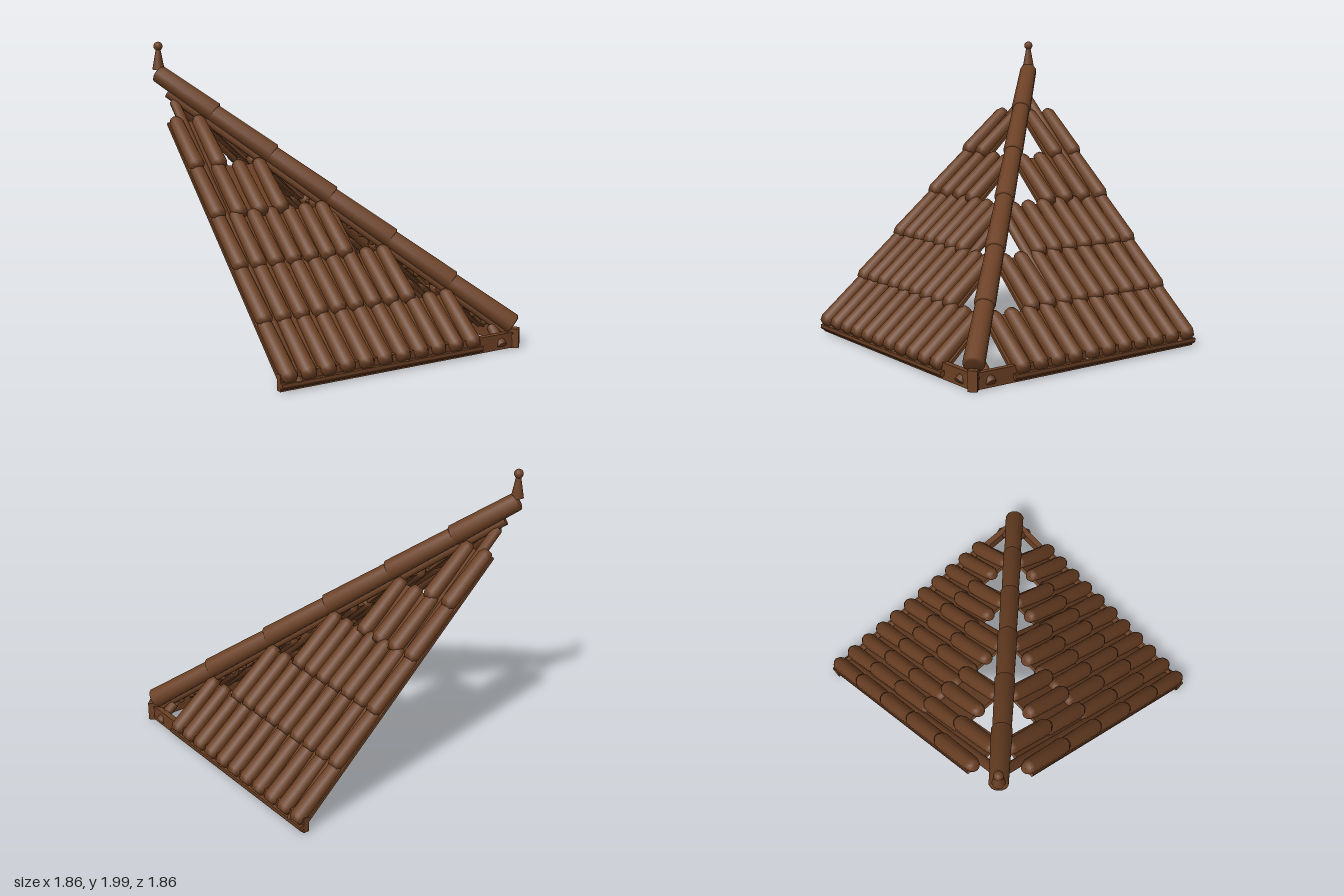
import * as THREE from 'three';

const wood = new THREE.MeshStandardMaterial({ color: 0x6b4024 });
wood.name = 'brownWood';

const V = (x, y, z) => new THREE.Vector3(x, y, z);
const UP = V(0, 1, 0);
const RISE = 0.925;                                    // roof pitch
const roofY = (z) => 0.365 + RISE * (0.555 - z);       // height of the front slope

function add(parent, name, geometry) {
  const mesh = new THREE.Mesh(geometry, wood);
  mesh.name = name;
  parent.add(mesh);
  return mesh;
}

// Puts a part whose base is at its own origin so that it runs from a towards b
function aim(mesh, a, b) {
  mesh.position.copy(a);
  mesh.quaternion.setFromUnitVectors(UP, b.clone().sub(a).normalize());
  return mesh;
}

// Rounded barrel, wide at the lower end and narrower at the upper end
function barrel(length, rLow, rHigh, sides, cap) {
  const profile = [
    [0, 0], [rLow * 0.72, 0], [rLow, cap], [(rLow + rHigh) / 2, length * 0.5],
    [rHigh, length - cap], [rHigh * 0.7, length], [0, length],
  ].map(([r, y]) => new THREE.Vector2(r, y));
  return new THREE.LatheGeometry(profile, sides);
}

function pole(parent, name, a, b, r, sides = 8) {
  const length = a.distanceTo(b);
  const g = new THREE.CylinderGeometry(r, r, length, sides).translate(0, length / 2, 0);
  return aim(add(parent, name, g), a, b);
}

const tileGeometry = barrel(0.455, 0.055, 0.05, 10, 0.035);
const LEFT = -0.935;
const ROWS = [                                         // right edge and tile count
  { edge: 0.57, count: 11 },
  { edge: 0.265, count: 9 },
  { edge: -0.03, count: 7 },
  { edge: -0.34, count: 4 },
  { edge: -0.64, count: 2 },
];

// One roof slope; m = -1 mirrors it across x
function slope(name, m) {
  const group = new THREE.Group();
  group.name = name;
  const stepZ = 0.3015;

  ROWS.forEach(({ edge, count }, row) => {
    // Deck board below the row
    const zHigh = 0.555 - row * stepZ;
    const zLow = row === 0 ? 0.895 : zHigh + stepZ;
    const run = (zLow - zHigh) * Math.hypot(1, RISE);
    const board = add(group, 'deckBoard', new THREE.BoxGeometry(edge - LEFT, 0.02, run));
    const zMid = (zLow + zHigh) / 2;
    board.position.set(m * (LEFT + edge) / 2, roofY(zMid) - 0.014, zMid);
    board.rotation.x = Math.atan(RISE);

    // Barrel tiles, their upper ends dipping through the board
    const first = -0.877, last = edge - 0.07;
    for (let i = 0; i < count; i++) {
      const x = m * (first + (last - first) * i / (count - 1));
      const dz = -row * stepZ, dy = row * stepZ * RISE;
      aim(add(group, 'roofTile', tileGeometry),
        V(x, 0.083 + dy, 0.9 + dz), V(x, 0.372 + dy, 0.55 + dz));
    }
  });

  // Rafters running up to the hip
  for (const [x, top] of [[-0.81, -0.8], [-0.03, -0.02], [0.74, 0.76]]) {
    pole(group, 'rafter', V(m * x, 0.042, 0.88), V(m * x, roofY(top) - 0.03, top), 0.034);
  }

  // Eave beam and the thin strip under the lowest tiles
  const beam = add(group, 'eaveBeam', new THREE.BoxGeometry(1.81, 0.105, 0.04));
  beam.position.set(m * -0.03, 0.066, 0.852);
  const strip = add(group, 'eaveStrip', new THREE.BoxGeometry(1.505, 0.025, 0.03));
  strip.position.set(m * -0.1825, 0.055, 0.885);
  return group;
}

export function createModel() {
  const model = new THREE.Group();
  model.name = 'hippedRoofCorner';

  model.add(slope('frontSlope', 1));
  const side = slope('leftSlope', -1);
  side.rotation.y = Math.PI / 2;
  model.add(side);

  // Hip cap: overlapping tapered segments along the diagonal
  const hip = new THREE.Group();
  hip.name = 'hip';
  model.add(hip);
  const hipPoint = (t, drop = 0) => {
    const x = 0.855 - 1.745 * t;
    return V(x, 0.958 - 0.935 * x - drop, x);
  };
  const segments = 6;
  const segLength = hipPoint(0).distanceTo(hipPoint(1)) / segments;
  for (let i = 0; i < segments; i++) {
    const overlap = i < segments - 1 ? 0.06 : 0;
    const cap = add(hip, 'hipTile', barrel(segLength + overlap, 0.069, 0.061, 12, 0.012));
    aim(cap, hipPoint(i / segments, -0.004), hipPoint((i + 1) / segments, 0.004));
  }

  // Hip rafter below the cap, with a row of pegs along its lower half
  pole(hip, 'hipRafter', hipPoint(0, 0.075), hipPoint(0.97, 0.09), 0.036);
  const peg = new THREE.SphereGeometry(0.024, 8, 6);
  for (let i = 0; i < 13; i++) {
    add(hip, 'peg', peg).position.copy(hipPoint(0.08 + i * 0.031, 0.115));
  }

  // Corner post where the eave beams meet
  const post = add(model, 'cornerPost', new THREE.BoxGeometry(0.06, 0.13, 0.06));
  post.position.set(0.86, 0.076, 0.86);
  post.rotation.y = Math.PI / 4;

  // Finial at the peak
  const finial = new THREE.Group();
  finial.name = 'finial';
  finial.position.set(-0.885, 0, -0.885);
  model.add(finial);
  add(finial, 'finialSpike', new THREE.CylinderGeometry(0.014, 0.042, 0.15, 10)).position.y = 1.885;
  add(finial, 'finialBall', new THREE.SphereGeometry(0.031, 12, 8)).position.y = 1.969;

  return model;
}
